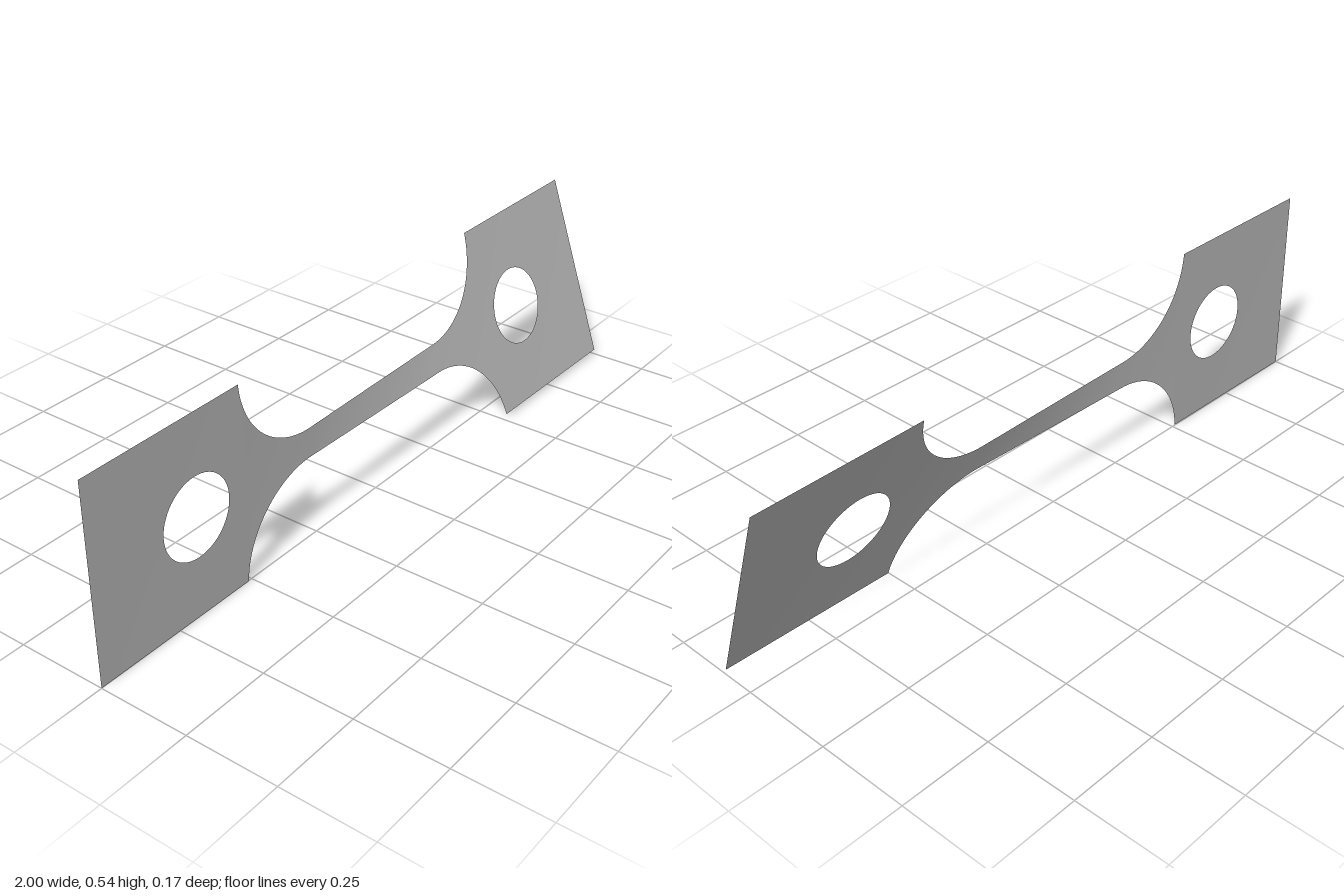
import * as THREE from 'three';
import { mergeVertices } from 'three/addons/utils/BufferGeometryUtils.js';

const TAB = 0.27;      // half height of the grip tabs
const NECK = 0.04;     // half height of the narrow neck
const R = 0.245;       // fillet radius
const ARC_X = 0.267;   // fillet centre, where the neck becomes straight
const HOLE_X = 0.67;
const HOLE_R = 0.108;
const ARC_END = Math.acos((NECK + R - TAB) / R);

// Twist in degrees along the length, mostly taken up by the neck
const TWIST = [[-1, 0], [-0.5, 0.4], [-0.27, 1.8], [0.27, 16.2], [0.5, 17.5], [1, 18.8]];
function twistAt(x) {
  let i = 0;
  while (i < TWIST.length - 2 && x > TWIST[i + 1][0]) i++;
  const [x0, a0] = TWIST[i], [x1, a1] = TWIST[i + 1];
  return THREE.MathUtils.degToRad(a0 + (a1 - a0) * (x - x0) / (x1 - x0));
}

// Each column is [x, inner half height, outer half height]
function columns(count, fn) {
  return Array.from({ length: count + 1 }, (_, i) => fn(i / count));
}

// Twisted sheet through the columns, mirrored above and below the axis
function sheet(cols, name, material) {
  const positions = [], index = [], rows = 6;
  cols.sort((a, b) => a[0] - b[0]);
  for (const side of [1, -1]) {
    const base = positions.length / 3;
    for (const [x, inner, outer] of cols) {
      const t = twistAt(x);
      for (let j = 0; j <= rows; j++) {
        const v = side * THREE.MathUtils.lerp(inner, outer, j / rows);
        positions.push(x, TAB + v * Math.cos(t), -v * Math.sin(t));
      }
    }
    for (let i = 0; i < cols.length - 1; i++) {
      for (let j = 0; j < rows; j++) {
        const a = base + i * (rows + 1) + j, b = a + rows + 1;
        if (side > 0) index.push(a, b, b + 1, a, b + 1, a + 1);
        else index.push(a, b + 1, b, a, a + 1, b + 1);
      }
    }
  }
  let geometry = new THREE.BufferGeometry();
  geometry.setAttribute('position', new THREE.Float32BufferAttribute(positions, 3));
  geometry.setIndex(index);
  geometry = mergeVertices(geometry, 1e-5);
  geometry.computeVertexNormals();
  const mesh = new THREE.Mesh(geometry, material);
  mesh.name = name;
  return mesh;
}

export function createModel() {
  const group = new THREE.Group();
  group.name = 'twistedTensileSpecimen';
  const metal = new THREE.MeshStandardMaterial({ color: 0xb8b8b8, side: THREE.DoubleSide });
  metal.name = 'grey metal';

  // Straight narrow neck
  group.add(sheet(columns(32, (u) => [ARC_X * (2 * u - 1), 0, NECK]), 'neck', metal));

  const tabStart = ARC_X + R * Math.sin(ARC_END);
  for (const [s, side] of [[1, 'left'], [-1, 'right']]) {
    // Curved shoulder widening from the neck to the tab
    group.add(sheet(columns(28, (u) => {
      const a = u * ARC_END;
      return [s * (ARC_X + R * Math.sin(a)), 0, NECK + R * (1 - Math.cos(a))];
    }), side + 'Shoulder', metal));

    // Grip tab with a round hole
    const inside = columns(4, (u) => [s * THREE.MathUtils.lerp(tabStart, HOLE_X - HOLE_R, u), 0, TAB]);
    const hole = columns(32, (u) => [
      s * (HOLE_X - HOLE_R * Math.cos(u * Math.PI)), HOLE_R * Math.sin(u * Math.PI), TAB,
    ]);
    const outside = columns(8, (u) => [s * THREE.MathUtils.lerp(HOLE_X + HOLE_R, 1, u), 0, TAB]);
    group.add(sheet([...inside.slice(0, -1), ...hole, ...outside.slice(1)], side + 'GripTab', metal));
  }
  return group;
}
